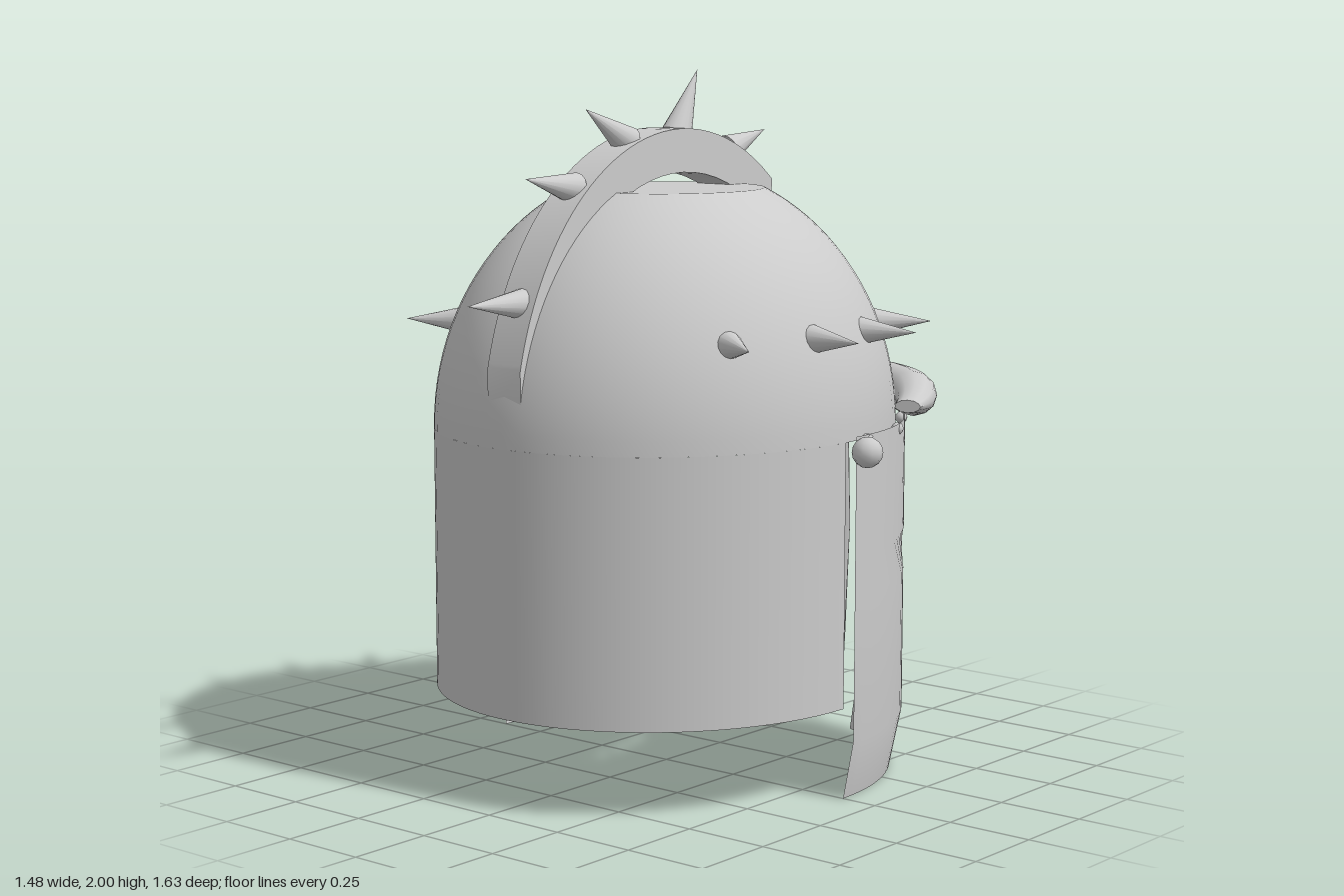
import * as THREE from 'three';
import { toCreasedNormals } from 'three/addons/utils/BufferGeometryUtils.js';

const material = new THREE.MeshStandardMaterial({ color: 0xcccccc });
const sheetMaterial = new THREE.MeshStandardMaterial({ color: 0xcccccc, side: THREE.DoubleSide });

function add(parent, name, geometry, mat = material) {
  const mesh = new THREE.Mesh(geometry, mat);
  mesh.name = name;
  parent.add(mesh);
  return mesh;
}

function buildGeometry(points, index) {
  const g = new THREE.BufferGeometry().setFromPoints(points);
  g.setIndex(index);
  g.computeVertexNormals();
  return g;
}

// Closed skin over a row of rings, with flat end caps
function loft(rings) {
  const n = rings[0].length, last = rings.length - 1;
  const points = rings.flat(), index = [];
  for (let i = 0; i < last; i++) {
    for (let j = 0; j < n; j++) {
      const k = (j + 1) % n, a = i * n + j, b = i * n + k;
      index.push(a, a + n, b, b, a + n, b + n);
    }
  }
  for (let j = 1; j < n - 1; j++) {
    index.push(0, j, j + 1, last * n, last * n + j + 1, last * n + j);
  }
  return toCreasedNormals(buildGeometry(points, index), 0.9);
}

function ring(sides, pointAt) {
  return Array.from({ length: sides }, (_, j) => {
    const a = (j / sides) * Math.PI * 2;
    return pointAt(Math.cos(a), Math.sin(a));
  });
}

// Cone running from a base point to a tip point
function spike(parent, name, base, tip, radius) {
  const from = new THREE.Vector3(...base), to = new THREE.Vector3(...tip);
  const dir = to.clone().sub(from);
  const mesh = add(parent, name, new THREE.ConeGeometry(radius, dir.length(), 14));
  mesh.position.copy(from).add(to).multiplyScalar(0.5);
  mesh.quaternion.setFromUnitVectors(new THREE.Vector3(0, 1, 0), dir.normalize());
}

// Curved cheek sheet; each row is [height, scale, end angle]
function cheekGeometry(side) {
  const rows = [[0, 0.95, 1.253], [0.17, 1, 1.268], [0.58, 1, 1.268], [0.7, 1, 0.86], [1.02, 1, 0.86]];
  const steps = 20, points = [], index = [];
  rows.forEach(([y, s, end], i) => {
    for (let j = 0; j <= steps; j++) {
      const t = (end * j) / steps;
      points.push(new THREE.Vector3(side * s * 0.675 * Math.cos(t), y, -s * 0.7 * Math.sin(t)));
      if (i && j) {
        const d = i * (steps + 1) + j, c = d - 1, b = d - steps - 1, a = b - 1;
        if (side > 0) index.push(a, b, c, b, d, c);
        else index.push(a, c, b, b, c, d);
      }
    }
  });
  return buildGeometry(points, index);
}

export function createModel() {
  const model = new THREE.Group();
  model.name = 'helmet';

  // Dome with a flat top, and the half-round skirt below it
  const shell = new THREE.Group();
  shell.name = 'shell';
  shell.scale.set(0.64, 1, 0.69);
  model.add(shell);
  const domeProfile = [];
  const topAngle = Math.asin(0.67 / 0.74);
  for (let i = 0; i <= 20; i++) {
    const a = (topAngle * i) / 20;
    domeProfile.push(new THREE.Vector2(Math.cos(a), 1 + 0.74 * Math.sin(a)));
  }
  add(shell, 'dome', new THREE.LatheGeometry(domeProfile, 64), sheetMaterial);
  const top = add(shell, 'domeTop', new THREE.CircleGeometry(Math.cos(topAngle), 64), sheetMaterial);
  top.rotation.x = -Math.PI / 2;
  top.position.y = 1.67;
  const skirtProfile = [new THREE.Vector2(1, 0.255), new THREE.Vector2(1, 1)];
  add(shell, 'skirt', new THREE.LatheGeometry(skirtProfile, 40, -Math.PI / 2, Math.PI), sheetMaterial);

  // Crest: arched strip, cut off upright at both ends
  const arc = (a, b, z) => 1 + b * Math.sqrt(Math.max(0, 1 - (z / a) ** 2));
  const crest = new THREE.Shape();
  const front = 0.677, back = -0.41, innerFront = 0.59;
  crest.moveTo(front, 1.09);
  for (let i = 0; i <= 40; i++) {
    const z = back + (front - back) * Math.cos((i / 40) * Math.PI / 2);
    crest.lineTo(z, arc(0.7, 0.838, z));
  }
  for (let i = 0; i <= 30; i++) {
    const z = back + (innerFront - back) * Math.sin((i / 30) * Math.PI / 2);
    crest.lineTo(z, arc(0.62, 0.715, z));
  }
  crest.lineTo(innerFront, 1.09);
  const crestGeometry = new THREE.ExtrudeGeometry(crest, { depth: 0.12, bevelEnabled: false });
  crestGeometry.translate(0, 0, -0.06).rotateY(-Math.PI / 2);
  add(model, 'crest', toCreasedNormals(crestGeometry, 0.5));

  // Crest spikes: base z, y and tip z, y
  [
    [0.59, 1.385, 0.815, 1.395], [0.39, 1.685, 0.587, 1.72], [0.17, 1.805, 0.344, 1.9],
    [-0.045, 1.82, -0.138, 2], [-0.27, 1.765, -0.45, 1.82],
  ].forEach(([z, y, tz, ty]) => spike(model, 'crestSpike', [0, y, z], [0, ty, tz], 0.045));

  // Brow bar: arc with tapered ends
  const browRings = [];
  for (let i = 0; i <= 48; i++) {
    const t = -1.16 + (2.32 * i) / 48;
    const taper = Math.max(0, (Math.abs(t) - 0.8) / 0.36);
    const w = 0.07 - 0.033 * taper, h = 0.065 - 0.047 * taper;
    const normal = new THREE.Vector3(Math.sin(t) / 0.69, 0, -Math.cos(t) / 0.75).normalize();
    browRings.push(ring(12, (c, s) => new THREE.Vector3(
      0.69 * Math.sin(t) + normal.x * w * c, 1.067 - h * s, -0.75 * Math.cos(t) + normal.z * w * c)));
  }
  add(model, 'browBar', loft(browRings));

  // Nose guard: height, z centre, half width, half depth
  const nose = [
    [0.06, -0.758, 0.055, 0.03], [0.14, -0.78, 0.061, 0.032], [0.25, -0.78, 0.068, 0.032],
    [0.6, -0.78, 0.085, 0.032], [0.85, -0.78, 0.077, 0.032], [1.05, -0.775, 0.062, 0.03],
  ];
  add(model, 'noseGuard', loft(nose.map(([y, z, w, d]) =>
    ring(12, (c, s) => new THREE.Vector3(w * c, y, z + d * s)))));

  for (const side of [1, -1]) {
    add(model, side > 0 ? 'leftCheekGuard' : 'rightCheekGuard', cheekGeometry(side), sheetMaterial);

    // Side spikes: base x, z and tip x, z
    [
      [0.48, 0.32, 0.63, 0.415], [0.57, 0.065, 0.738, 0.08],
      [0.54, -0.187, 0.707, -0.23], [0.43, -0.395, 0.57, -0.5],
    ].forEach(([x, z, tx, tz]) =>
      spike(model, 'sideSpike', [side * x, 1.285, z], [side * tx, 1.287, tz], 0.041));

    // Hinge ball and the rivets along the rim
    const hinge = add(model, 'hingeBall', new THREE.SphereGeometry(0.043, 10, 8));
    hinge.position.set(side * 0.698, 0.977, -0.02);
    for (const z of [-0.068, -0.29, -0.48, -0.62]) {
      const rivet = add(model, 'rivet', new THREE.SphereGeometry(0.018, 8, 6));
      rivet.position.set(side * 0.665 * Math.sqrt(1 - (z / 0.7) ** 2), 1.003, z);
    }
  }
  return model;
}
